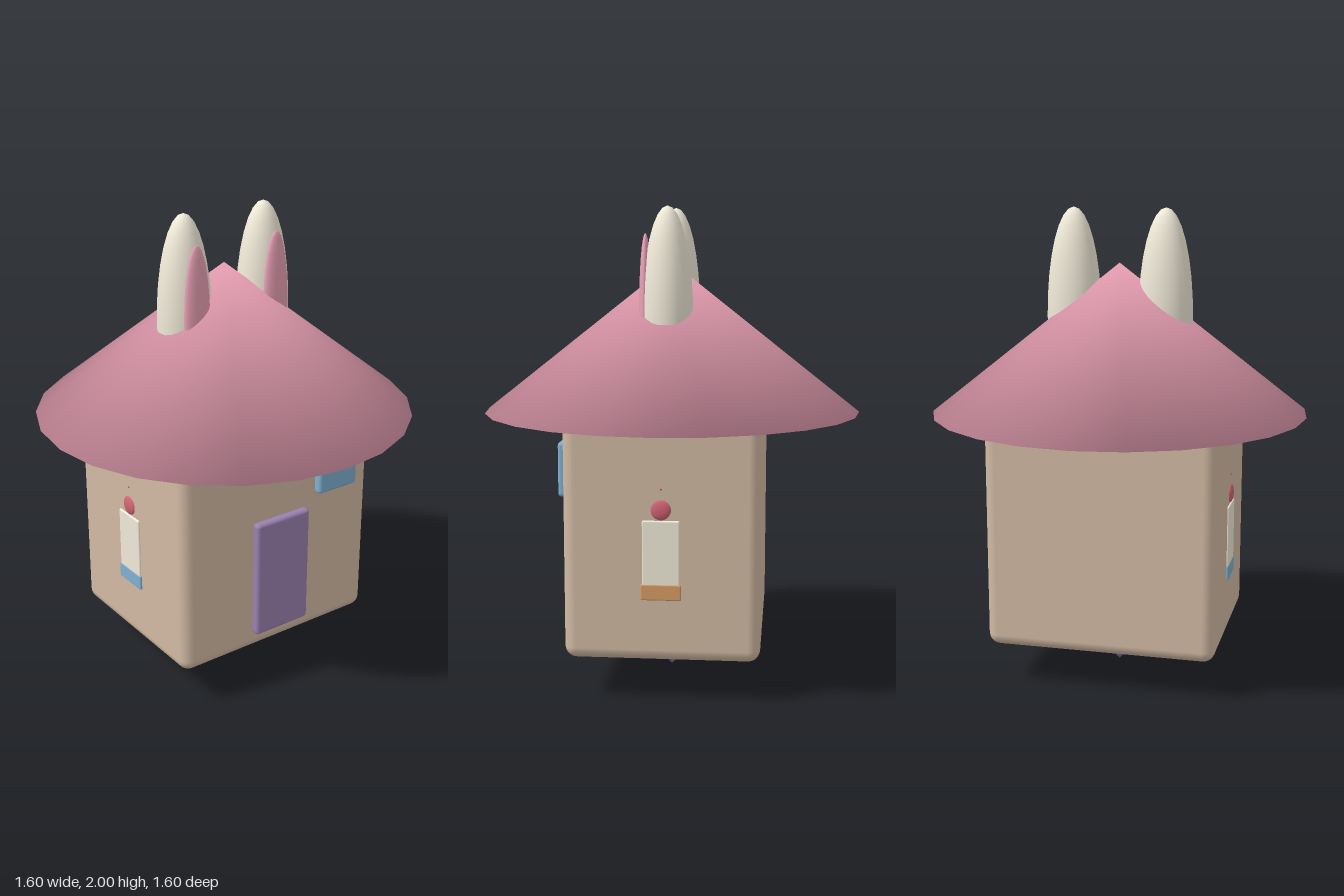
import * as THREE from 'three';
import { RoundedBoxGeometry } from 'three/addons/geometries/RoundedBoxGeometry.js';

const mat = (color, extra = {}) => new THREE.MeshStandardMaterial({ color, ...extra });
const tan = mat(0xd2baa4), pink = mat(0xe8a0b4), cream = mat(0xf0ead8), dark = mat(0x2c3046);
const blue = mat(0x7fb0d0), purple = mat(0x9a80b0), orange = mat(0xd89c64), red = mat(0xd06474);
const gemPurple = mat(0x8272b4, { flatShading: true });

export function createModel() {
  const model = new THREE.Group();

  function add(name, geometry, material, x, y, z, parent = model) {
    const mesh = new THREE.Mesh(geometry, material);
    mesh.name = name;
    mesh.position.set(x, y, z);
    parent.add(mesh);
    return mesh;
  }
  const ellipsoid = (rx, ry, rz) => new THREE.SphereGeometry(1, 24, 16).scale(rx, ry, rz);
  const slab = (w, h, d, r) => new RoundedBoxGeometry(w, h, d, 3, r);

  // House body
  add('body', slab(0.975, 1.0, 0.8, 0.05), tan, 0, 0.67, 0);

  // Roof: closed cone whose shading runs smoothly over the rim
  add('roof', roofGeometry(0.8, 0.63, 24), pink, 0, 1.14, 0);

  // Ears and eyes, mirrored
  for (const side of [-1, 1]) {
    add('ear', ellipsoid(0.116, 0.46, 0.106), cream, side * 0.198, 1.54, 0);
    add('innerEar', ellipsoid(0.062, 0.33, 0.026), pink, side * 0.198, 1.56, 0.091);
    add('eye', ellipsoid(0.05, 0.06, 0.03), dark, side * 0.16, 1.145, 0.388);
  }
  add('nose', ellipsoid(0.057, 0.025, 0.03), pink, 0, 1.005, 0.417);

  // Front door and window
  add('door', slab(0.274, 0.526, 0.06, 0.015), purple, 0, 0.512, 0.402);
  add('window', slab(0.206, 0.226, 0.06, 0.015), blue, 0.288, 0.938, 0.402);

  // Candle decoration on each side wall
  for (const side of [-1, 1]) {
    const candle = new THREE.Group();
    candle.name = 'candle';
    candle.position.x = side * 0.487;
    add('candleBase', slab(0.02, 0.066, 0.164, 0.006), side > 0 ? orange : blue, 0, 0.463, 0, candle);
    add('candleStick', slab(0.016, 0.27, 0.152, 0.006), cream, 0, 0.622, 0, candle);
    add('candleBall', ellipsoid(0.014, 0.041, 0.041), red, 0, 0.8, 0, candle);
    add('candleSpark', ellipsoid(0.005, 0.005, 0.005), red, 0, 0.885, 0, candle);
    model.add(candle);
  }

  // Underside: shallow dome, slightly tilted ring and pointed gem
  add('bottomDome', ellipsoid(0.185, 0.06, 0.17), cream, 0, 0.182, 0);
  const ring = add('bottomRing', new THREE.TorusGeometry(0.2, 0.022, 10, 32).rotateX(Math.PI / 2),
    orange, 0, 0.178, 0);
  ring.rotation.set(-0.07, 0, 0.07);
  add('gem', new THREE.CylinderGeometry(0.145, 0, 0.145, 6), gemPurple, 0, 0.0825 - 0.01, 0);

  return model;
}

// Cone with a base; rim vertices share one normal between slope and base
function roofGeometry(radius, height, sides) {
  const positions = [], normals = [];
  const rim = (i) => {
    const a = (i / sides) * Math.PI * 2;
    return { p: [radius * Math.sin(a), 0, radius * Math.cos(a)],
      n: [0.948 * Math.sin(a), -0.318, 0.948 * Math.cos(a)] };
  };
  const apex = { p: [0, height, 0], n: [0, 1, 0] };
  const centre = { p: [0, 0, 0], n: [0, -0.318, 0] };
  for (let i = 0; i < sides; i++) {
    const a = rim(i), b = rim(i + 1);
    for (const v of [apex, a, b, centre, b, a]) {
      positions.push(...v.p);
      normals.push(...v.n);
    }
  }
  const geometry = new THREE.BufferGeometry();
  geometry.setAttribute('position', new THREE.Float32BufferAttribute(positions, 3));
  geometry.setAttribute('normal', new THREE.Float32BufferAttribute(normals, 3));
  return geometry;
}
